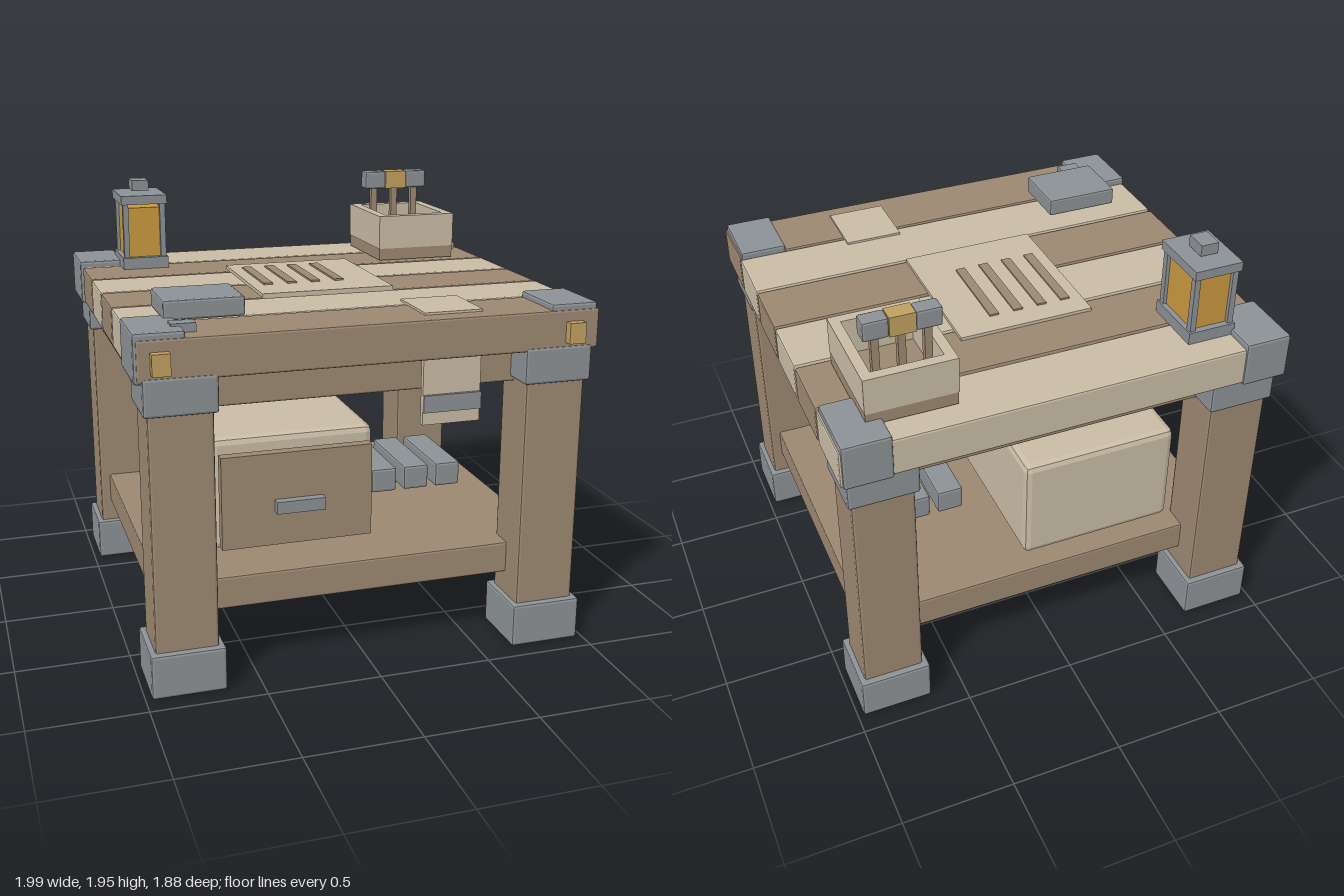
import * as THREE from 'three';
import { RoundedBoxGeometry } from 'three/addons/geometries/RoundedBoxGeometry.js';

const mat = (name, color) => {
  const m = new THREE.MeshStandardMaterial({ color });
  m.name = name;
  return m;
};

export function createModel() {
  const wood = mat('darkWood', 0x9c8871);
  const pale = mat('paleWood', 0xc9bca5);
  const iron = mat('iron', 0x8c9195);
  const brass = mat('brass', 0xc0a060);
  const glass = mat('amberGlass', 0xc9983f);
  const model = new THREE.Group();
  model.name = 'workbench';

  // Box given by its extents; an optional bevel chamfers every edge.
  function box(name, material, [x0, x1], [y0, y1], [z0, z1], bevel = 0, parent = model) {
    const size = [x1 - x0, y1 - y0, z1 - z0];
    let geo;
    if (bevel) {
      geo = new RoundedBoxGeometry(...size, 1, bevel);
      geo.computeVertexNormals(); // flat chamfers
    } else {
      geo = new THREE.BoxGeometry(...size);
    }
    const mesh = new THREE.Mesh(geo, material);
    mesh.name = name;
    mesh.position.set((x0 + x1) / 2, (y0 + y1) / 2, (z0 + z1) / 2);
    parent.add(mesh);
    return mesh;
  }
  const around = (c, w) => [c - w / 2, c + w / 2];
  const group = (name) => {
    const g = new THREE.Group();
    g.name = name;
    model.add(g);
    return g;
  };

  // Legs with iron feet and collars, plus the corner irons on the top
  for (const sx of [-1, 1]) {
    for (const sz of [-1, 1]) {
      const x = sx * 0.813, z = sz * 0.765;
      const leg = group('leg');
      box('legPost', wood, around(x, 0.27), [0.1, 1.3], around(z, 0.24), 0.012, leg);
      box('foot', iron, around(x, 0.32), [0, 0.195], around(z, 0.3), 0.012, leg);
      box('collar', iron, around(x, 0.305), [1.215, 1.375], around(z, 0.285), 0.012, leg);
      box('cornerIron', iron, around(sx * 0.885 - 0.006, 0.21), [1.35, 1.557],
        around(sz * 0.768 - 0.02, 0.3), 0.012);
      // Brass pegs
      box('peg', brass, around(sx * 0.885 - 0.007, 0.075), [1.39, 1.48],
        sz > 0 ? [0.88, 0.94] : [-0.66, -0.615]);
    }
  }

  // Frame under the top, and the lower shelf
  box('topFrame', wood, [-0.9, 0.9], [1.195, 1.345], [-0.76, 0.76], 0.01);
  box('shelf', wood, [-0.9, 0.9], [0.295, 0.44], [-0.76, 0.76], 0.01);

  // Six alternating planks
  for (let i = 0; i < 6; i++) {
    box('plank', i % 2 ? wood : pale, [-0.985, 0.993], [1.358, 1.53],
      around(-0.782 + i * 0.3075, 0.294), 0.01);
  }

  // Storage chest with its front panel and handle
  const chest = group('chest');
  box('chestBody', pale, [-0.626, 0.107], [0.478, 0.985], [-0.7, 0.555], 0.03, chest);
  box('chestPanel', wood, [-0.6, 0.077], [0.505, 0.925], [0.58, 0.63], 0, chest);
  box('chestHandle', iron, [-0.365, -0.147], [0.66, 0.715], [0.625, 0.67], 0, chest);

  // Three ingots above the shelf
  for (let i = 0; i < 3; i++) {
    box('ingot', iron, around(0.316 + i * 0.164, 0.126), [0.497, 0.615], [-0.305, 0.147], 0.012);
  }

  // Cloth lying on the top and hanging down in front
  const cloth = group('cloth');
  box('clothTop', pale, [0.232, 0.492], [1.52, 1.54], [0.535, 0.82], 0, cloth);
  box('clothDrop', pale, [0.232, 0.492], [1.053, 1.525], [0.795, 0.82], 0, cloth);
  box('clothStripe', iron, [0.232, 0.492], [1.11, 1.185], [0.815, 0.835], 0, cloth);

  // Grooved mat
  const pad = group('mat');
  box('matSheet', pale, [-0.32, 0.29], [1.525, 1.545], [-0.41, 0.285], 0, pad);
  for (let i = 0; i < 4; i++) {
    box('matGroove', wood, around(-0.242 + i * 0.112, 0.043), [1.54, 1.553], [-0.305, 0.1], 0, pad);
  }

  // Whetstone block and small tab
  box('block', iron, [-0.832, -0.492], [1.545, 1.627], [0.395, 0.673], 0.01);
  box('tab', iron, [-0.83, -0.728], [1.53, 1.567], [0.76, 0.82]);

  // Lantern
  const lantern = group('lantern');
  const lx = -0.691, lz = -0.658;
  box('lanternBase', iron, around(lx, 0.22), [1.53, 1.585], around(lz, 0.285), 0, lantern);
  box('lanternGlass', glass, around(lx, 0.172), [1.58, 1.823], around(lz, 0.228), 0, lantern);
  box('lanternCap', iron, around(lx, 0.22), [1.842, 1.884], around(lz, 0.285), 0, lantern);
  box('lanternKnob', iron, around(lx, 0.08), [1.895, 1.945], around(lz - 0.005, 0.1), 0, lantern);
  for (const sx of [-1, 1]) {
    for (const sz of [-1, 1]) {
      box('lanternPost', iron, around(lx + sx * 0.089, 0.026), [1.58, 1.845],
        around(lz + sz * 0.117, 0.03), 0, lantern);
    }
  }

  // Open tool tray
  const tray = group('toolTray');
  box('trayBase', wood, [0.458, 0.845], [1.535, 1.593], [-0.815, -0.36], 0, tray);
  for (const [a, b] of [[0.455, 0.5], [0.802, 0.847]]) {
    box('traySide', pale, [a, b], [1.593, 1.755], [-0.818, -0.357], 0, tray);
  }
  for (const [a, b] of [[-0.818, -0.772], [-0.403, -0.357]]) {
    box('trayEnd', pale, [0.5, 0.802], [1.593, 1.755], [a, b], 0, tray);
  }

  // Three tools standing in the tray
  for (let i = 0; i < 3; i++) {
    const x = 0.535 + i * 0.109;
    box('toolHandle', wood, around(x, 0.032), [1.59, 1.86], around(-0.683, 0.03), 0, tray);
    box('toolHead', i === 1 ? brass : iron, around(x, 0.109), [1.853, 1.94],
      around(-0.683, 0.075), i === 1 ? 0 : 0.01, tray);
  }

  return model;
}
